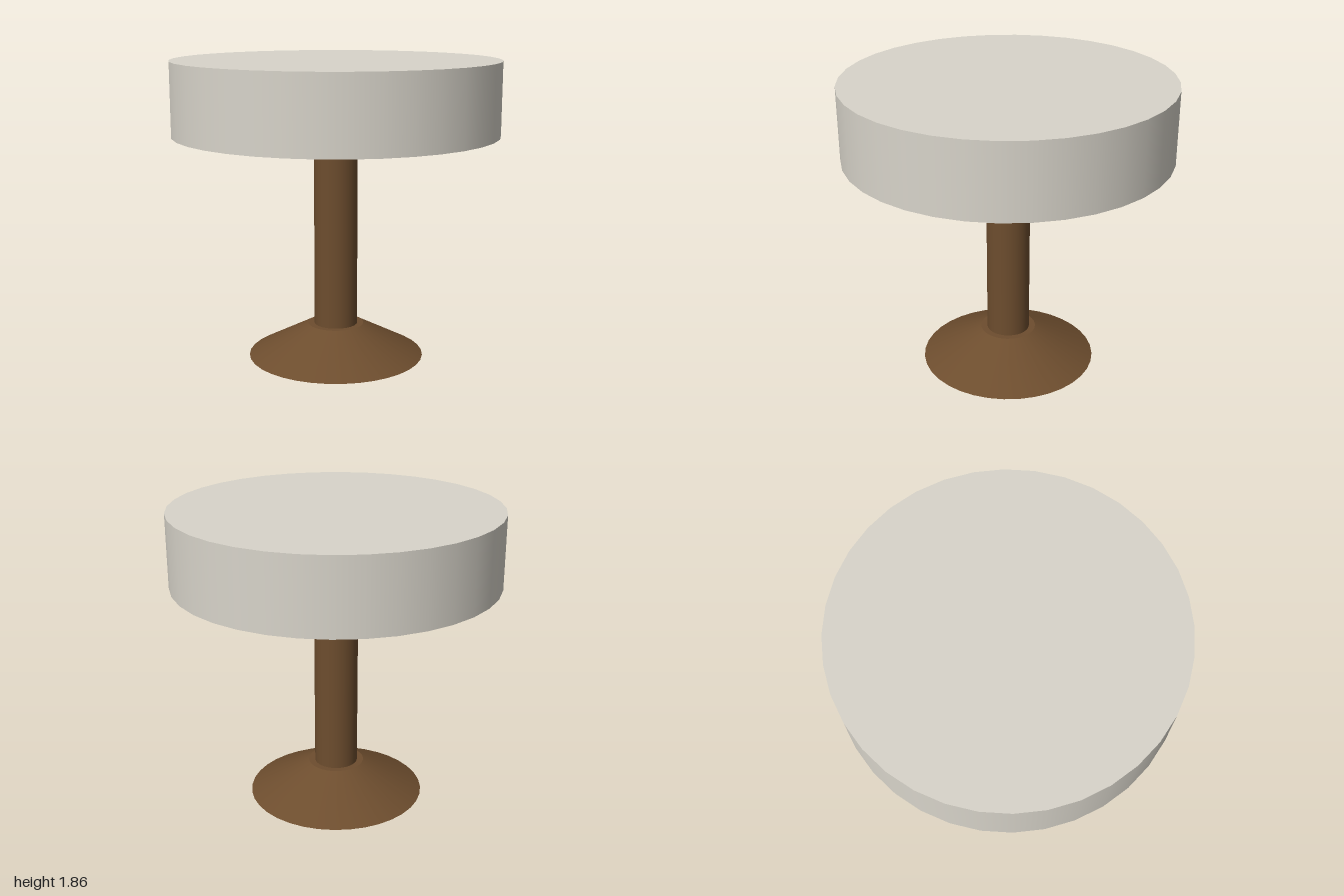
import * as THREE from 'three';

const SIDES = 36;

export function createModel() {
  const model = new THREE.Group();
  model.name = 'tableLamp';

  const fabric = new THREE.MeshStandardMaterial({ color: 0xd8d4ca, side: THREE.DoubleSide });
  fabric.name = 'pale grey fabric';
  const wood = new THREE.MeshStandardMaterial({ color: 0x6d4d2e, side: THREE.DoubleSide });
  wood.name = 'brown wood';

  function add(name, geometry, material, y) {
    const mesh = new THREE.Mesh(geometry, material);
    mesh.name = name;
    mesh.position.y = y;
    model.add(mesh);
  }

  // Open tube or cone standing between two heights
  function wall(name, topRadius, bottomRadius, bottom, top, material) {
    const geometry = new THREE.CylinderGeometry(topRadius, bottomRadius, top - bottom, SIDES, 1, true);
    add(name, geometry, material, (bottom + top) / 2);
  }

  // Flat horizontal disc
  function disc(name, radius, y, material) {
    add(name, new THREE.CircleGeometry(radius, SIDES).rotateX(-Math.PI / 2), material, y);
  }

  // Hollow conical foot with a flat top
  wall('base', 0.175, 0.55, 0, 0.2, wood);
  disc('baseTop', 0.175, 0.2, wood);

  // Post running up inside the shade to its support plate
  wall('post', 0.135, 0.135, 0.2, 1.76, wood);
  disc('supportPlate', 0.926, 1.76, wood);

  // Drum shade, closed above and open below
  wall('shade', 1, 1, 1.41, 1.86, fabric);
  disc('shadeTop', 1, 1.86, fabric);

  return model;
}
